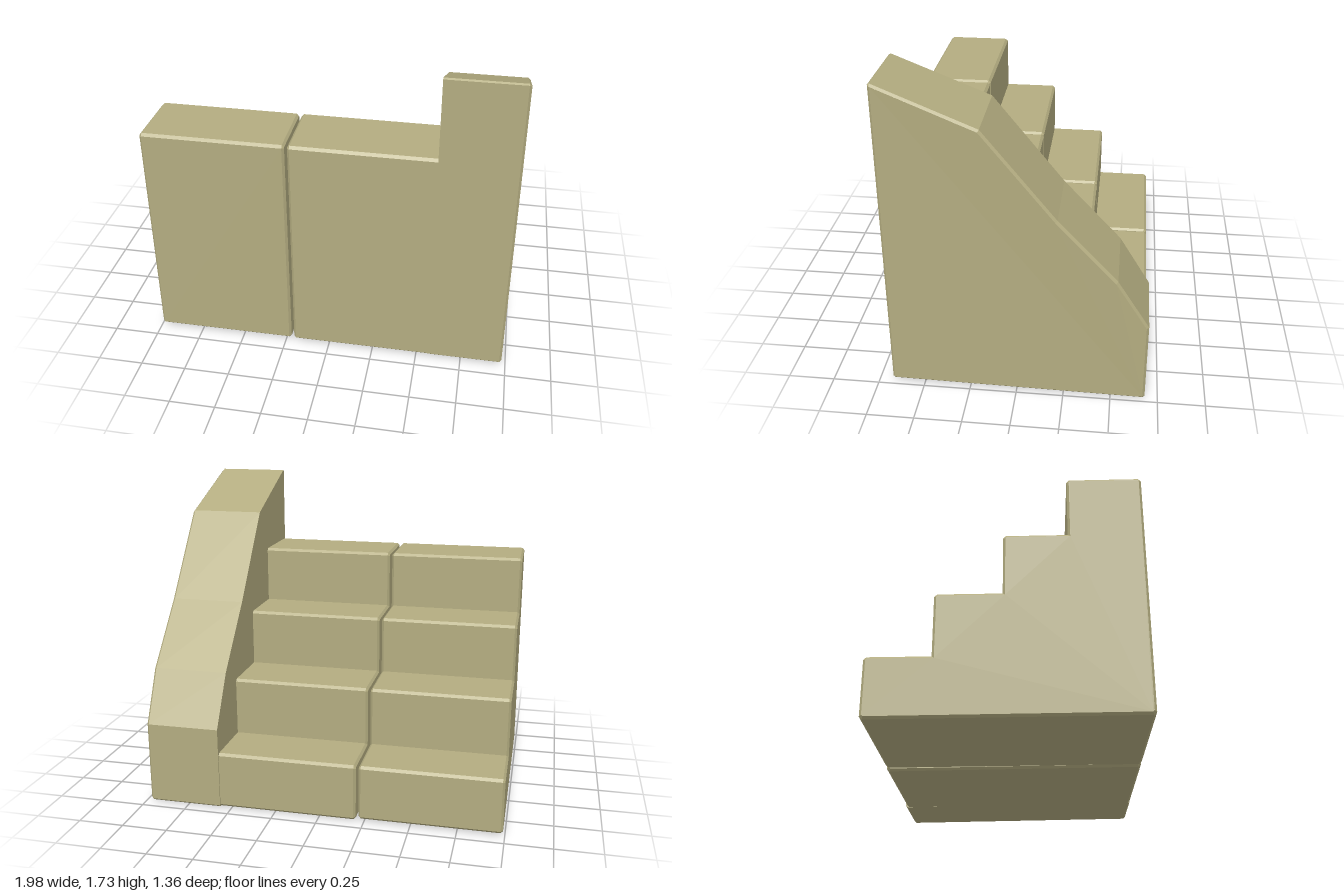
import * as THREE from 'three';

const stone = new THREE.MeshStandardMaterial({ color: 0xb3ac80 });
stone.name = 'sandstone';

const V = (z, y) => new THREE.Vector2(z, y);

// Cut the sharp convex corners of a counter-clockwise (z, y) profile
function chamfer(points, c) {
  const out = [];
  points.forEach((p, i) => {
    const a = points[(i + points.length - 1) % points.length].clone().sub(p).normalize();
    const b = points[(i + 1) % points.length].clone().sub(p).normalize();
    const convex = a.cross(b) < 0;
    if (convex && a.dot(b) > -0.5) {
      out.push(p.clone().addScaledVector(a, c), p.clone().addScaledVector(b, c));
    } else out.push(p.clone());
  });
  return out;
}

// Move every edge of the profile inwards by d
function inset(points, d) {
  return points.map((p, i) => {
    const a = p.clone().sub(points[(i + points.length - 1) % points.length]).normalize();
    const b = points[(i + 1) % points.length].clone().sub(p).normalize();
    const n1 = V(-a.y, a.x), n2 = V(-b.y, b.x);
    return p.clone().addScaledVector(n1.clone().add(n2), d / (1 + n1.dot(n2)));
  });
}

// Join copies of a profile placed along x; each station is [x, inset]
function loft(name, profile, stations, bulge = () => 0) {
  const n = profile.length, last = (stations.length - 1) * n;
  const pos = [], index = [];
  stations.forEach(([x, d], s) => inset(profile, d).forEach((p) => {
    pos.push(x + (s > 0 ? bulge(p.x, p.y) : 0), p.y, p.x);
  }));
  for (let s = 0; s < stations.length - 1; s++) {
    for (let i = 0; i < n; i++) {
      const a = s * n + i, b = s * n + (i + 1) % n;
      index.push(a, a + n, b + n, a, b + n, b);
    }
  }
  const base = inset(profile, stations[0][1]);
  for (const [i, j, k] of THREE.ShapeUtils.triangulateShape(base, [])) {
    index.push(i, j, k, last + i, last + k, last + j);
  }
  const indexed = new THREE.BufferGeometry();
  indexed.setAttribute('position', new THREE.Float32BufferAttribute(pos, 3));
  indexed.setIndex(index);
  const geometry = indexed.toNonIndexed();
  geometry.computeVertexNormals();
  const mesh = new THREE.Mesh(geometry, stone);
  mesh.name = name;
  return mesh;
}

// Four steps climbing towards +z
function stepProfile(bottomLow, bottomHigh) {
  const risers = [-0.675, -0.355, -0.025, 0.295];
  const treads = [0.32, 0.645, 0.965, 1.288];
  const pts = [V(-0.675, bottomLow), V(0.673, bottomHigh), V(0.673, treads[3])];
  for (let i = 3; i >= 0; i--) {
    pts.push(V(risers[i], treads[i]));
    if (i > 0) pts.push(V(risers[i], treads[i - 1]));
  }
  return chamfer(pts, 0.014);
}

export function createModel() {
  const group = new THREE.Group();
  group.name = 'stoneStairs';
  const b = 0.012;

  // Two flights separated by a narrow joint
  group.add(loft('outerSteps', stepProfile(0.012, 0.018),
    [[-0.99, b], [-0.99 + b, 0], [-0.218 - b, 0], [-0.218, b]]));
  group.add(loft('innerSteps', stepProfile(0.003, 0.015),
    [[-0.203, b], [-0.203 + b, 0], [0.568, 0]]));

  // Sloping side wall, slightly swollen at mid slope
  const wall = chamfer([
    V(-0.682, 0.002), V(0.675, 0.018), V(0.675, 1.737), V(0.16, 1.53),
    V(-0.21, 1.065), V(-0.515, 0.735), V(-0.682, 0.46),
  ], 0.01);
  group.add(loft('sideWall', wall,
    [[0.566, 0], [0.978 - b, 0], [0.978, b]],
    (z) => (Math.abs(z) < 0.6 ? 0.012 : 0)));

  return group;
}
